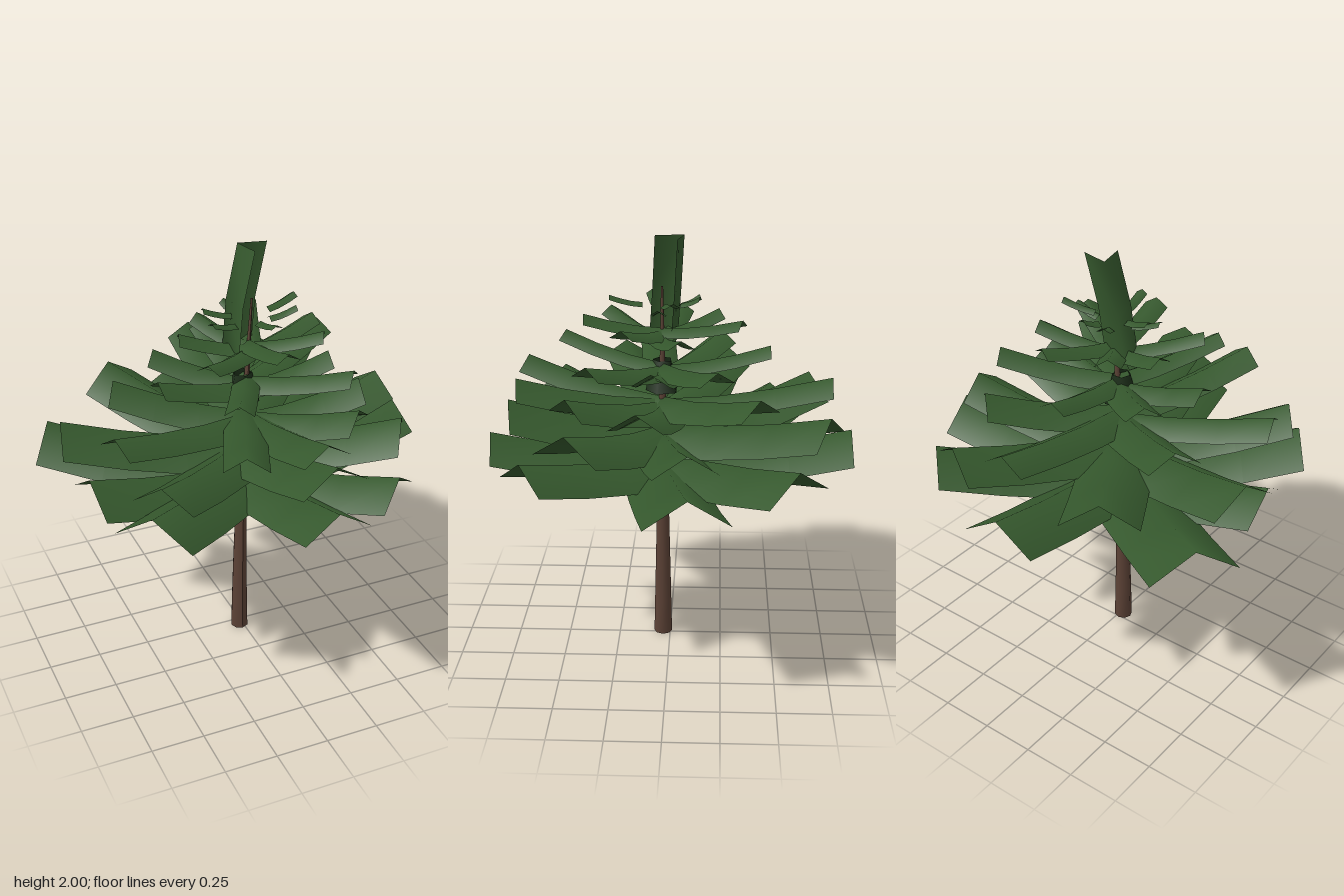
import * as THREE from 'three';

const RAD = Math.PI / 180;
const TRUNK_HEIGHT = 1.77;
const trunkX = (y) => -0.015 + 0.06 * (y / TRUNK_HEIGHT) ** 2;
const TRUNK_Z = 0.035;

// Strip folded along its middle; every station is [left edge, fold, right edge]
function foldedStrip(stations) {
  const positions = stations.flat().flatMap((p) => [p.x, p.y, p.z]);
  const index = [];
  for (let i = 0; i < stations.length - 1; i++) {
    for (let j = 0; j < 2; j++) {
      const a = i * 3 + j, b = a + 1, c = a + 3, d = a + 4;
      index.push(a, b, c, b, d, c);
    }
  }
  const geometry = new THREE.BufferGeometry();
  geometry.setAttribute('position', new THREE.Float32BufferAttribute(positions, 3));
  geometry.setIndex(index);
  geometry.computeVertexNormals();
  return geometry;
}

// Bough running out along +x, curving upwards, with a raised fold
function boughGeometry(start, length, width, rise) {
  const stations = [];
  for (let i = 0; i <= 3; i++) {
    const t = i / 3;
    const x = start + (length - start) * t;
    const y = rise * t ** 1.6;
    const drop = width * 0.32;
    stations.push([
      new THREE.Vector3(x, y - drop, -width / 2),
      new THREE.Vector3(x, y, 0),
      new THREE.Vector3(x, y - drop, width / 2),
    ]);
  }
  return foldedStrip(stations);
}

// Boughs are [angle from +x towards +z, length, optional width]
const tiers = [
  { y: 0.95, rise: 0.125, width: 0.38, start: 0, boughs: [
    [-9, 0.88], [-45, 0.87], [-90, 0.89], [-146, 0.96, 0.41], [175, 0.78], [140, 0.85], [83, 0.81, 0.34], [51, 0.79, 0.34]] },
  { y: 1.09, rise: 0.145, width: 0.35, start: 0, boughs: [
    [-10, 0.78, 0.3], [-65, 0.84], [-121, 0.83], [194, 0.85], [139, 0.8, 0.3], [80, 0.72], [33, 0.73]] },
  { y: 1.22, rise: 0.12, width: 0.25, start: 0, boughs: [
    [10, 0.55], [-46, 0.62], [-88, 0.79, 0.22], [-150, 0.62], [163, 0.74, 0.22], [113, 0.72, 0.2], [82, 0.68], [48, 0.56]] },
  { y: 1.385, rise: 0.095, width: 0.17, start: 0, boughs: [
    [5, 0.4], [-28, 0.55], [-92, 0.5, 0.14], [-142, 0.45], [175, 0.45], [117, 0.53, 0.13], [40, 0.5]] },
  { y: 1.555, rise: 0.07, width: 0.12, start: 0, boughs: [
    [-15, 0.38], [-70, 0.39], [-120, 0.3], [-165, 0.32], [140, 0.4], [85, 0.36], [30, 0.34]] },
  { y: 1.69, rise: 0.035, width: 0.055, start: 0.09, boughs: [
    [3, 0.22], [-14, 0.25], [-75, 0.18], [-110, 0.18], [165, 0.22], [190, 0.22], [85, 0.24]] },
];

export function createModel() {
  const group = new THREE.Group();
  const bark = new THREE.MeshStandardMaterial({ color: 0x5c4236 });
  const needles = new THREE.MeshStandardMaterial({ color: 0x35582d, side: THREE.DoubleSide });
  const shadedNeedles = new THREE.MeshStandardMaterial({ color: 0x1c2e19, side: THREE.DoubleSide });

  // Tapered trunk, bent gently towards the top
  const trunkGeometry = new THREE.CylinderGeometry(0.005, 0.044, TRUNK_HEIGHT, 8, 10);
  trunkGeometry.translate(0, TRUNK_HEIGHT / 2, 0);
  const pos = trunkGeometry.attributes.position;
  for (let i = 0; i < pos.count; i++) {
    pos.setX(i, pos.getX(i) + trunkX(pos.getY(i)));
    pos.setZ(i, pos.getZ(i) + TRUNK_Z);
  }
  trunkGeometry.computeVertexNormals();
  const trunk = new THREE.Mesh(trunkGeometry, bark);
  trunk.name = 'trunk';
  group.add(trunk);

  // Tiers of boughs
  tiers.forEach((tier, t) => {
    const whorl = new THREE.Group();
    whorl.name = `boughTier${t + 1}`;
    tier.boughs.forEach(([angle, length, width = tier.width], i) => {
      const bough = new THREE.Mesh(boughGeometry(tier.start, length, width, tier.rise), needles);
      bough.name = 'bough';
      const lift = ((i * 3) % 4 - 1.5) * 0.012;
      bough.position.set(trunkX(tier.y), tier.y + lift, TRUNK_Z);
      bough.rotation.y = -angle * RAD;
      whorl.add(bough);
    });
    group.add(whorl);
  });

  // Dark inner foliage around the trunk
  const core = new THREE.Mesh(new THREE.CylinderGeometry(0.045, 0.08, 0.15, 5, 1, true), shadedNeedles);
  core.name = 'innerFoliage';
  core.position.set(trunkX(1.34) - 0.02, 1.34, TRUNK_Z);
  group.add(core);

  // Upright, deeply folded leader wrapped behind the trunk tip
  const across = new THREE.Vector3(0.052, 0, -0.052);
  const back = new THREE.Vector3(-0.08, 0, -0.08);
  const leaderPath = [[0.01, 1.53, 0.045], [0.035, 1.75, 0.03], [0.098, 2, 0.015]];
  const leader = new THREE.Mesh(foldedStrip(leaderPath.map((point) => {
    const mid = new THREE.Vector3(...point);
    return [mid.clone().add(across), mid.clone().add(back), mid.clone().sub(across)];
  })), needles);
  leader.name = 'leader';
  group.add(leader);

  return group;
}
